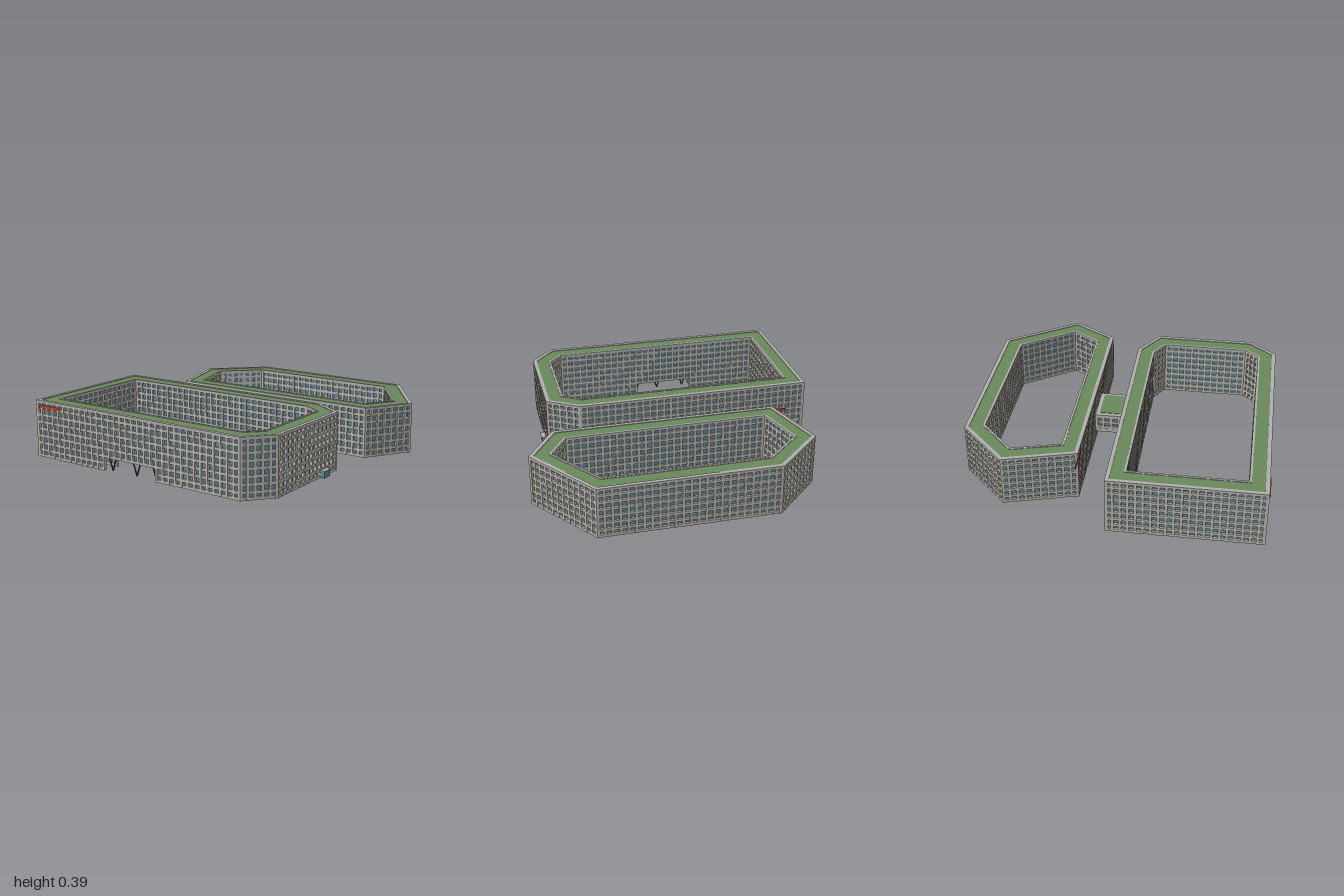
import * as THREE from 'three';
import { mergeGeometries } from 'three/addons/utils/BufferGeometryUtils.js';

const mat = (name, color, side = THREE.FrontSide) => {
  const m = new THREE.MeshStandardMaterial({ color, side });
  m.name = name;
  return m;
};
const stone = mat('pale stone', 0xb3afa8);
const glass = mat('blue glass', 0x5b8494, THREE.DoubleSide);
const green = mat('planted roof', 0x68875a);
const coping = mat('grey coping', 0xadadab);
const steel = mat('dark steel', 0x4a4a4a);
const red = mat('red sign', 0xc0462c);

const MODULE = 0.048; // window bay width and storey height
const BAR = 0.018;

function mesh(name, geometry, material, parent) {
  const m = new THREE.Mesh(geometry, material);
  m.name = name;
  parent.add(m);
  return m;
}

function boxAt(w, h, d, x, y, z) {
  return new THREE.BoxGeometry(w, h, d).translate(x, y, z);
}

// Window wall from a to b ([x, z]); its outside is on the right-hand normal.
// gate = { x0, x1, top } cuts a passage at ground level, in world x.
function windowWall(name, a, b, height, depth, parent, gate, base = 0) {
  const dx = b[0] - a[0], dz = b[1] - a[1];
  const length = Math.hypot(dx, dz);
  const cols = Math.max(1, Math.round(length / MODULE));
  const rows = Math.round(height / MODULE);
  const wall = new THREE.Group();
  wall.name = name;
  wall.position.set(a[0], base, a[1]);
  wall.rotation.y = Math.atan2(-dz, dx);
  parent.add(wall);

  let g0 = 0, g1 = 0;
  if (gate) {
    [g0, g1] = [gate.x0, gate.x1].map(x => Math.abs(x - a[0])).sort((p, q) => p - q);
    [g0, g1] = [g0, g1].map(v => Math.round(v / length * cols) / cols * length);
  }

  // Upright and level bars
  const bars = [];
  for (let i = 0; i <= cols; i++) {
    const x = THREE.MathUtils.clamp(i / cols * length, BAR / 2, length - BAR / 2);
    const y0 = gate && x > g0 + 0.01 && x < g1 - 0.01 ? gate.top : 0;
    bars.push(boxAt(BAR, height - y0, depth, x, (height + y0) / 2, -depth / 2));
  }
  for (let j = 0; j <= rows; j++) {
    const y = THREE.MathUtils.clamp(j / rows * height, BAR / 2, height - BAR / 2);
    const spans = gate && y < gate.top - 0.01 ? [[0, g0], [g1, length]] : [[0, length]];
    for (const [s, e] of spans)
      bars.push(boxAt(e - s, BAR, depth - 0.004, (s + e) / 2, y, -depth / 2));
  }
  mesh(name + 'Frame', mergeGeometries(bars), stone, wall);

  // Recessed glazing, notched round the passage
  const inset = depth * 0.4;
  const pane = [[inset, 0]];
  if (gate) pane.push([g0, 0], [g0, gate.top], [g1, gate.top], [g1, 0]);
  pane.push([length - inset, 0], [length - inset, height - 0.004], [inset, height - 0.004]);
  const shape = new THREE.Shape(pane.map(p => new THREE.Vector2(...p)));
  mesh(name + 'Glazing', new THREE.ShapeGeometry(shape).translate(0, 0, -depth * 0.75), glass, wall);
}

// Flat ring between two fractions of the way from the outer to the inner outline
function ring(outer, inner, t0, t1, y0, y1) {
  const outline = t => outer.map((p, i) => new THREE.Vector2(
    THREE.MathUtils.lerp(p[0], inner[i][0], t), -THREE.MathUtils.lerp(p[1], inner[i][1], t)));
  const shape = new THREE.Shape(outline(t0));
  shape.holes.push(new THREE.Path(outline(t1)));
  return new THREE.ExtrudeGeometry(shape, { depth: y1 - y0, bevelEnabled: false })
    .rotateX(-Math.PI / 2).translate(0, y0, 0);
}

// Courtyard block: outer and inner window walls under a planted roof
function block(name, outer, inner, height, parent, gate) {
  const g = new THREE.Group();
  g.name = name;
  parent.add(g);
  const n = outer.length;
  for (let i = 0; i < n; i++) {
    const k = (i + 1) % n, opening = i === 0 ? gate : undefined;
    windowWall('outerWall', outer[i], outer[k], height, 0.022, g, opening);
    windowWall('courtyardWall', inner[k], inner[i], height, 0.016, g, opening);
  }
  mesh('outerCoping', ring(outer, inner, 0, 0.21, height - 0.012, height + 0.002), coping, g);
  mesh('innerCoping', ring(outer, inner, 0.88, 1, height - 0.012, height + 0.002), coping, g);
  mesh('roofPlanting', ring(outer, inner, 0.2, 0.89, height - 0.012, height - 0.002), green, g);
  return g;
}

// Pair of slanting struts meeting at the ground
function vColumn(x, z, height, spread, parent) {
  const g = new THREE.Group();
  g.name = 'vColumn';
  g.position.set(x, 0, z);
  parent.add(g);
  for (const s of [-1, 1]) {
    const path = new THREE.LineCurve3(new THREE.Vector3(0, 0, 0), new THREE.Vector3(s * spread, height, 0));
    mesh('strut', new THREE.TubeGeometry(path, 1, 0.005, 6), steel, g);
  }
}

export function createModel() {
  const model = new THREE.Group();
  model.name = 'officeBuildings';

  // Front block with a ground-level passage
  const gate = { x0: -0.4, x1: 0.03, top: MODULE * 2 };
  const front = block('frontBlock',
    [[-1, 0.985], [0.65, 0.985], [0.8, 0.81], [0.8, 0.13], [0.59, 0], [-1, 0]],
    [[-0.88, 0.86], [0.59, 0.86], [0.675, 0.77], [0.675, 0.19], [0.56, 0.12], [-0.88, 0.12]],
    0.383, model, gate);
  mesh('passageCeiling', boxAt(0.43, 0.006, 0.115, -0.185, gate.top + 0.004, 0.922), coping, front);
  for (const x of [-0.36, -0.16, 0.0]) vColumn(x, 0.955, gate.top, 0.033, front);

  // Side entrance
  mesh('entranceGlass', boxAt(0.026, 0.042, 0.07, 0.813, 0.021, 0.293), glass, front);
  mesh('entranceCanopy', boxAt(0.032, 0.006, 0.082, 0.815, 0.045, 0.293), coping, front);

  // Rear block
  block('rearBlock',
    [[-0.685, -0.215], [0.81, -0.215], [1, -0.515], [0.665, -0.998], [-0.5, -0.998], [-0.82, -0.685]],
    [[-0.595, -0.335], [0.74, -0.335], [0.855, -0.515], [0.605, -0.87], [-0.455, -0.87], [-0.685, -0.65]],
    0.338, model);

  // Link bridge
  const bridge = new THREE.Group();
  bridge.name = 'linkBridge';
  model.add(bridge);
  windowWall('bridgeWall', [0.25, 0], [0.25, -0.215], 0.1, 0.018, bridge, undefined, 0.09);
  windowWall('bridgeWall', [-0.03, -0.215], [-0.03, 0], 0.1, 0.018, bridge, undefined, 0.09);
  mesh('bridgeFloor', boxAt(0.28, 0.025, 0.215, 0.11, 0.0775, -0.1075), stone, bridge);
  mesh('bridgeRoof', boxAt(0.28, 0.012, 0.215, 0.11, 0.194, -0.1075), coping, bridge);
  mesh('bridgePlanting', boxAt(0.225, 0.004, 0.16, 0.1125, 0.201, -0.11), green, bridge);
  vColumn(0.11, -0.105, 0.068, 0.03, bridge);

  // Plain red sign boards
  mesh('frontSign', boxAt(0.18, 0.02, 0.006, -0.875, 0.345, 0.988), red, model);
  mesh('rearSign', boxAt(0.18, 0.018, 0.005, -0.7, 0.305, -0.212), red, model);
  return model;
}
